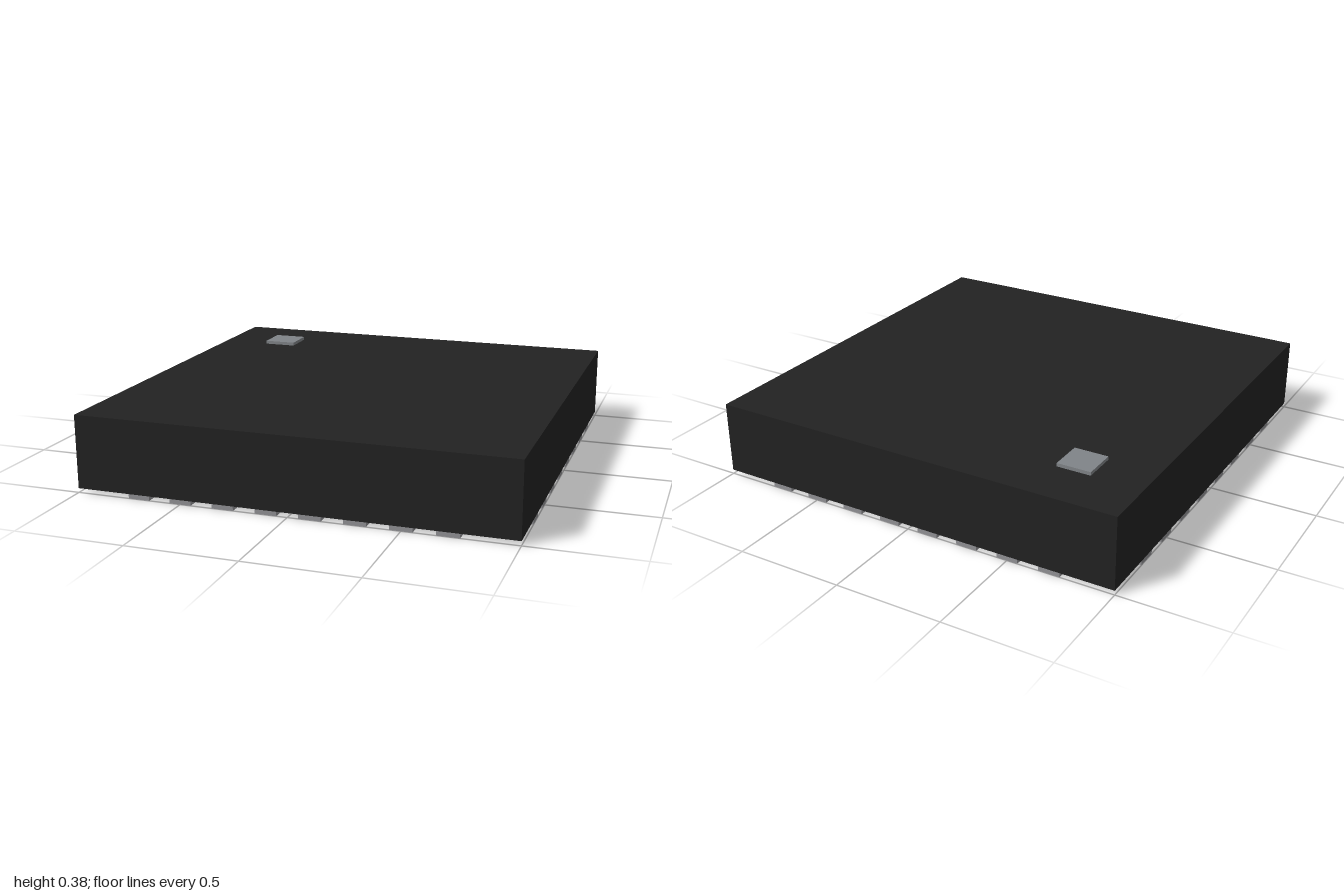
import * as THREE from 'three';

const mat = (name, color) => Object.assign(new THREE.MeshStandardMaterial({ color }), { name });

export function createModel() {
  const bodyBlack = mat('bodyBlack', 0x222222);
  const padMetal = mat('padMetal', 0x929296);
  const markerGrey = mat('markerGrey', 0x808488);

  const model = new THREE.Group();
  model.name = 'chipPackage';

  const box = (name, material, [w, h, d], [x, y, z], parent = model) => {
    const mesh = new THREE.Mesh(new THREE.BoxGeometry(w, h, d), material);
    mesh.name = name;
    mesh.position.set(x, y, z);
    parent.add(mesh);
    return mesh;
  };

  // Moulded body, raised on its contacts
  box('body', bodyBlack, [2, 0.34, 2], [0, 0.19, 0]);

  // First-pin marker on the top, back right corner
  box('pinMarker', markerGrey, [0.16, 0.016, 0.16], [-0.68, 0.368, -0.68]);

  // Large thermal pad under the body
  box('thermalPad', padMetal, [1.24, 0.02, 1.24], [0, 0.01, 0]);

  // Eight contacts along each of the four edges
  ['front', 'left', 'back', 'right'].forEach((side, s) => {
    const row = new THREE.Group();
    row.name = `${side}Contacts`;
    row.rotation.y = s * Math.PI / 2;
    for (let i = 0; i < 8; i++) {
      box('contact', padMetal, [0.1, 0.02, 0.16], [-0.7 + i * 0.2, 0.01, 0.92], row);
    }
    model.add(row);
  });

  return model;
}
